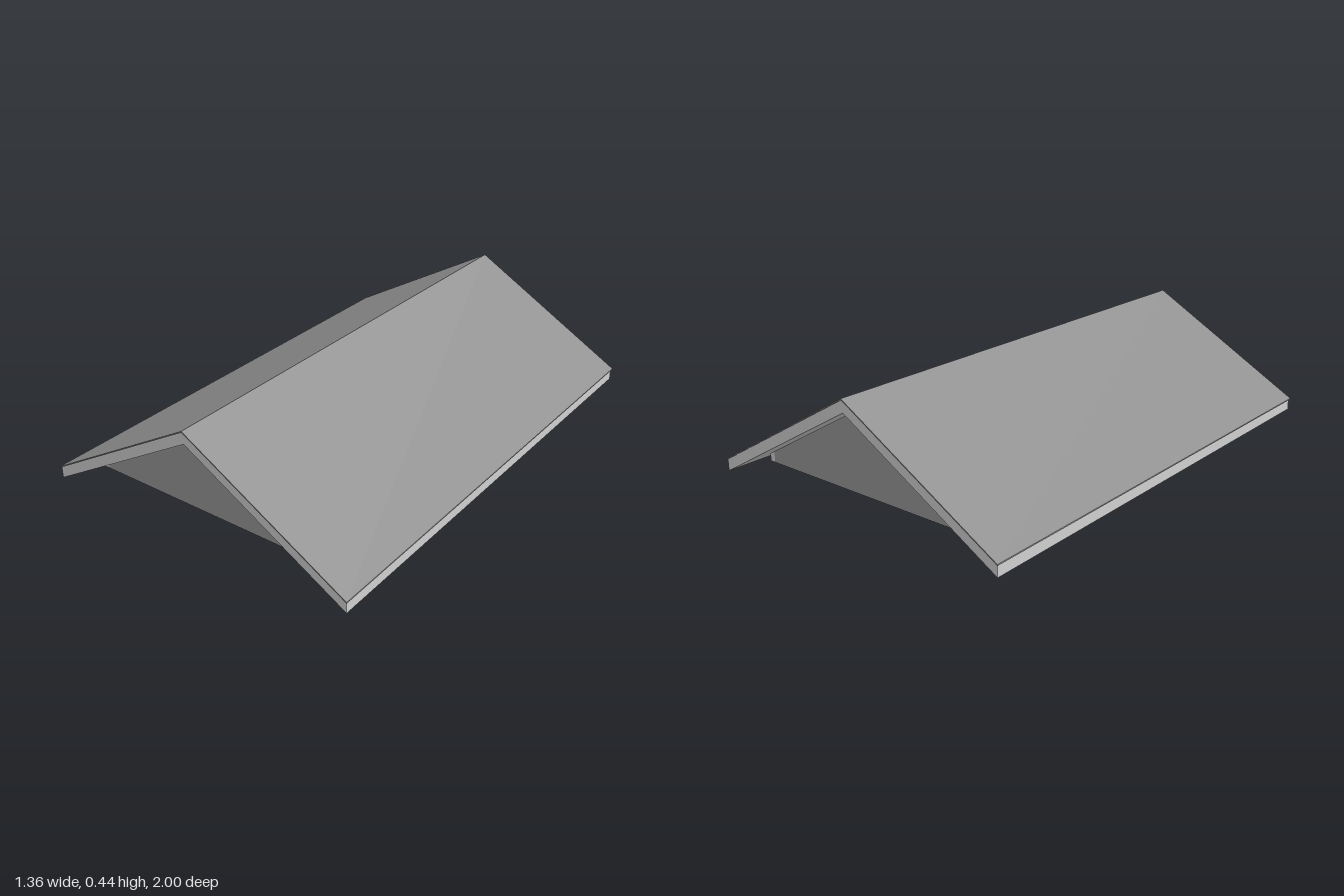
import * as THREE from 'three';

const PITCH = 0.5735;   // roof rise per unit of run

export function createModel() {
  const group = new THREE.Group();
  const mat = (name, color, side = THREE.FrontSide) => {
    const m = new THREE.MeshStandardMaterial({ color, side });
    m.name = name;
    return m;
  };
  const roofGrey = mat('roof grey', 0x8f8f8f);
  const wallGrey = mat('wall grey', 0x989898);
  const trimLight = mat('light trim', 0xd0d0d0);

  // Extrudes an outline in x, y between two z positions
  const prism = (name, pts, z0, z1, material) => {
    const shape = new THREE.Shape(pts.map(([x, y]) => new THREE.Vector2(x, y)));
    const geo = new THREE.ExtrudeGeometry(shape, { depth: z1 - z0, bevelEnabled: false });
    geo.translate(0, 0, z0);
    const mesh = new THREE.Mesh(geo, material);
    mesh.name = name;
    group.add(mesh);
  };

  // Folded slab that follows the roof pitch
  const chevron = (halfWidth, top, thick) => {
    const drop = halfWidth * PITCH;
    return [
      [halfWidth, top - drop], [0, top], [-halfWidth, top - drop],
      [-halfWidth, top - drop - thick], [0, top - thick], [halfWidth, top - drop - thick],
    ];
  };

  // Roof: thin covering over a light deck with exposed fascia
  prism('roofCovering', chevron(0.68, 0.44, 0.005), -1, 1, roofGrey);
  prism('roofDeck', chevron(0.675, 0.435, 0.048), -0.994, 0.994, trimLight);

  // Sloped ceiling under the deck
  prism('ceiling', chevron(0.545, 0.388, 0.046), -0.85, 0.85, trimLight);

  // Low side walls with corner posts
  for (const s of [1, -1]) {
    const strip = [[s * 0.545, 0.03], [s * 0.57, 0.03], [s * 0.57, 0.064], [s * 0.545, 0.078]];
    prism('sideWall', strip, -0.849, 0.849, wallGrey);
    prism('cornerPost', strip, 0.849, 0.874, trimLight);
    prism('cornerPost', strip, -0.874, -0.849, trimLight);
  }

  // Gable walls, light on the inside
  const gable = [[-0.545, 0.03], [0.545, 0.03], [0.545, 0.078], [0, 0.39], [-0.545, 0.078]];
  const lining = [[-0.545, 0.031], [0.545, 0.031], [0, 0.343]];
  for (const s of [1, -1]) {
    const span = (a, b) => (s > 0 ? [a, b] : [-b, -a]);
    prism('gableWall', gable, ...span(0.85, 0.874), wallGrey);
    prism('gableLining', lining, ...span(0.847, 0.85), trimLight);
  }

  return group;
}
